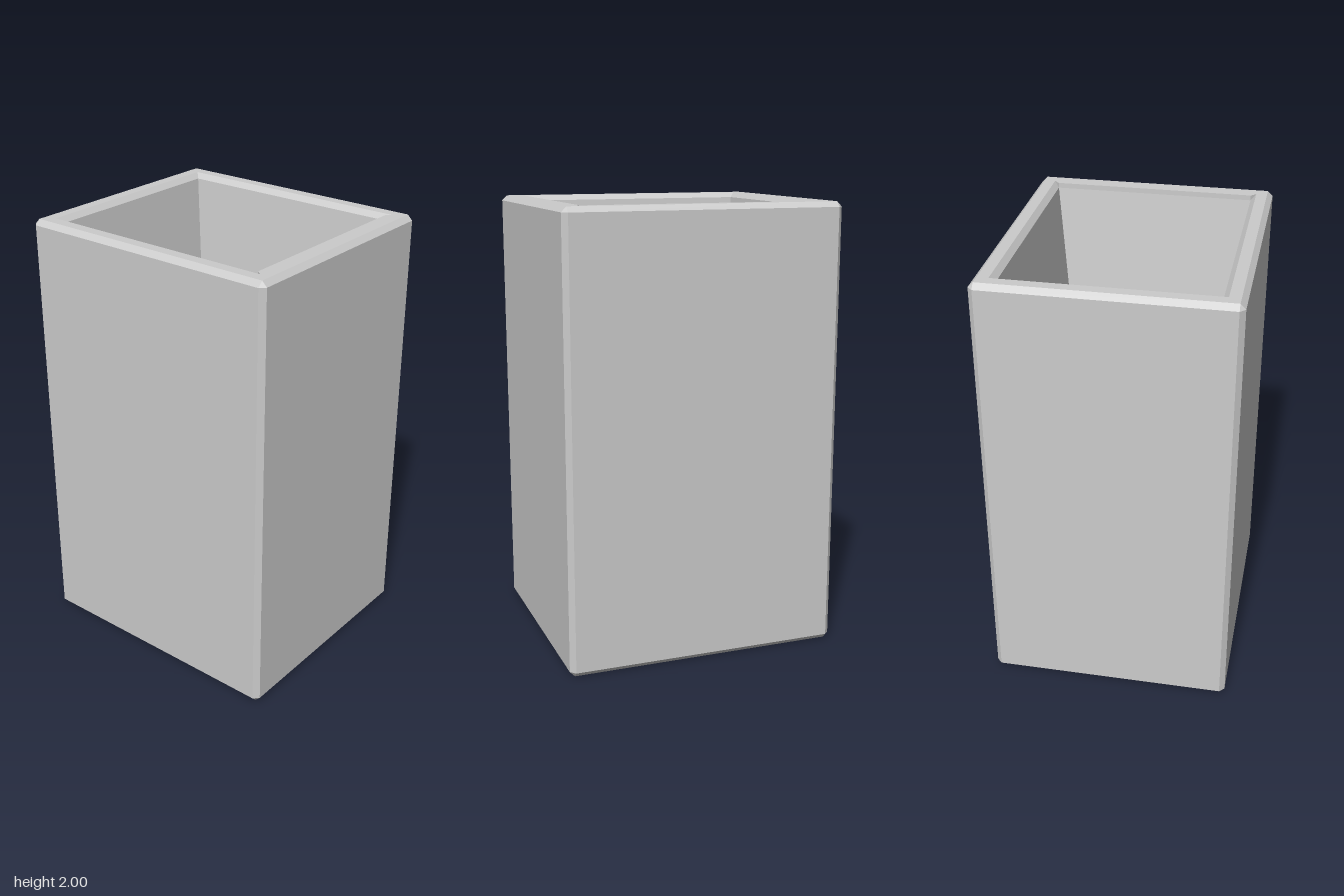
import * as THREE from 'three';

const HX = 0.622, HZ = 0.545, H = 2, C = 0.023; // outer half sizes, height, bevel
const FLOOR_Y = 0.78;

// Eight-point rectangle loop with cut corners (cut 0 gives plain corners)
function ring(hx, hz, y, cut = 0) {
  const a = hx - cut, b = hz - cut;
  return [[hx, b], [hx, -b], [a, -hz], [-a, -hz], [-hx, -b], [-hx, b], [-a, hz], [a, hz]]
    .map(([x, z]) => new THREE.Vector3(x, y, z));
}

function meshFromTriangles(name, points, material) {
  const geometry = new THREE.BufferGeometry().setFromPoints(points);
  geometry.computeVertexNormals();
  const mesh = new THREE.Mesh(geometry, material);
  mesh.name = name;
  return mesh;
}

// Collects triangles, leaving out collapsed ones
function collector() {
  const points = [];
  const tri = (a, b, c) => {
    if (new THREE.Triangle(a, b, c).getArea() > 1e-8) points.push(a, b, c);
  };
  const quad = (a, b, c, d) => { tri(a, b, c); tri(a, c, d); };
  const band = (lower, upper, first = 0) => {
    for (let i = first; i < 8; i++) {
      const j = (i + 1) % 8;
      quad(lower[i], lower[j], upper[j], upper[i]);
    }
  };
  const cap = (loop) => {
    for (let i = 1; i < 7; i++) tri(loop[0], loop[i], loop[i + 1]);
  };
  return { points, tri, quad, band, cap };
}

export function createModel() {
  const group = new THREE.Group();
  group.name = 'squareContainer';
  const material = new THREE.MeshStandardMaterial({ color: 0xcccccc, flatShading: true });

  const base = ring(HX - C, HZ - C, 0);
  const top = ring(HX - C, HZ - C, H);
  const rim = ring(0.55, 0.473, H);
  const lip = ring(0.527, 0.45, H - C);
  const floor = ring(0.385, 0.33, FLOOR_Y);

  // Outer body: base, bevelled edges and walls
  const outer = collector();
  outer.cap([...base].reverse());
  const shell = [base, ring(HX, HZ, C, C), ring(HX, HZ, H - C, C), top];
  for (let i = 0; i < 3; i++) outer.band(shell[i], shell[i + 1]);
  group.add(meshFromTriangles('outerBody', outer.points, material));

  // Flat rim with an inner bevel on three sides and a square lip on the left
  const edge = collector();
  edge.band(top, rim);
  edge.band(rim, lip, 1);
  const [t0, t1] = lip.map((p) => p.clone().setY(H));
  edge.quad(rim[0], rim[1], t1, t0);
  edge.quad(t0, t1, lip[1], lip[0]);
  edge.tri(rim[1], lip[1], t1);
  edge.tri(rim[0], t0, lip[0]);
  group.add(meshFromTriangles('rim', edge.points, material));

  // Tapered cavity
  const cavity = collector();
  cavity.band(lip, floor);
  group.add(meshFromTriangles('innerWalls', cavity.points, material));

  const bottom = collector();
  bottom.cap(floor);
  group.add(meshFromTriangles('innerFloor', bottom.points, material));

  return group;
}
